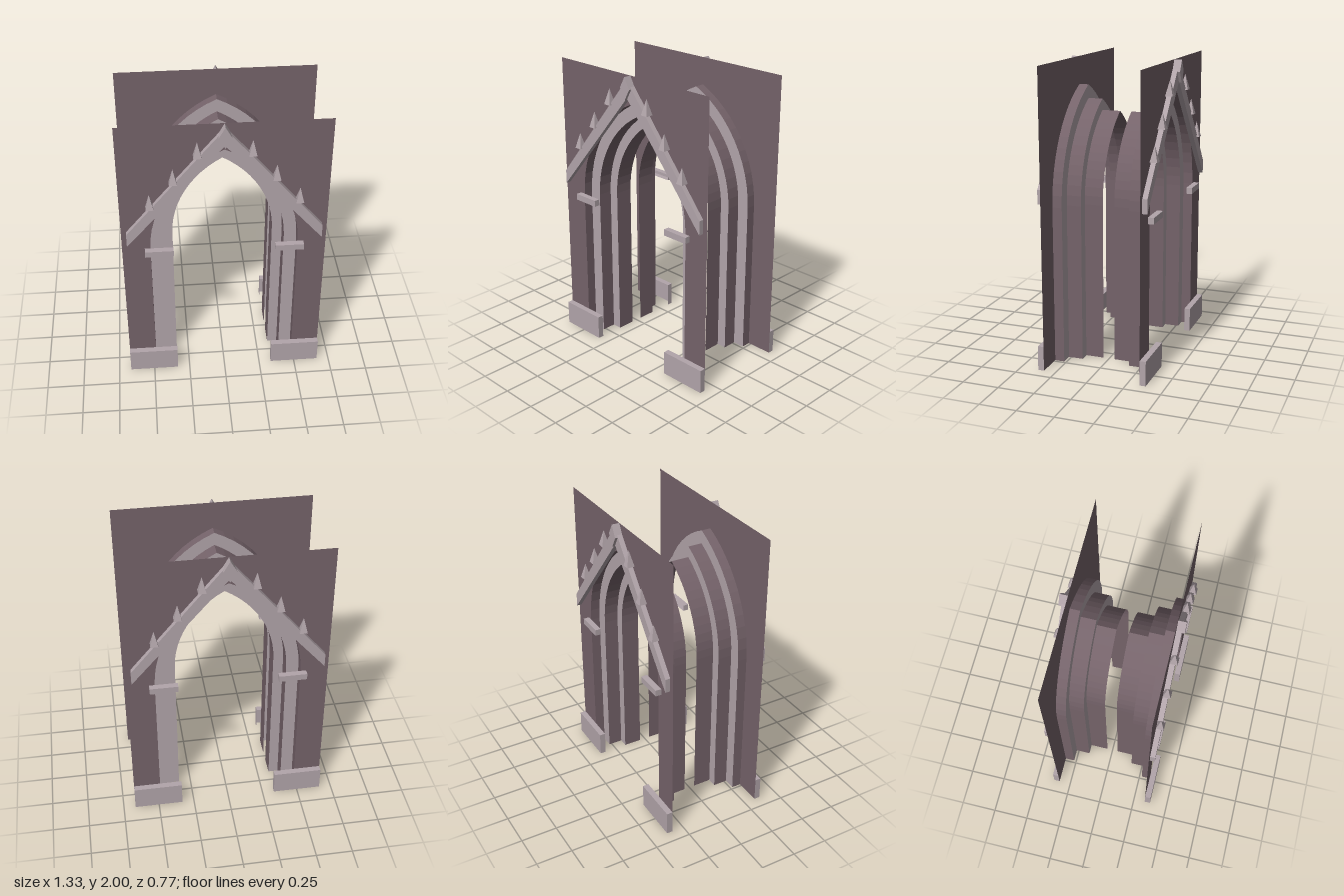
import * as THREE from 'three';

const SPRING = 1.067, OFFSET = 0.333, WALL_Z = 0.333;
const ORDERS = [ // half width, outer z, inner z
  { w: 0.483, z0: 0.333, z1: 0.267 },
  { w: 0.4, z0: 0.267, z1: 0.167 },
  { w: 0.333, z0: 0.167, z1: 0.04 },
];

const wallStone = new THREE.MeshStandardMaterial({ name: 'wallStone', color: 0x75636a, side: THREE.DoubleSide });
const trimStone = new THREE.MeshStandardMaterial({ name: 'trimStone', color: 0xb2a5aa, side: THREE.DoubleSide });

// Pointed arch outline, from the foot at +x over the apex to the foot at -x
function archPoints(w, n = 12) {
  const r = w + OFFSET, end = Math.acos(OFFSET / r);
  const half = [new THREE.Vector2(w, 0)];
  for (let i = 0; i <= n; i++) {
    const a = (end * i) / n;
    half.push(new THREE.Vector2(i === n ? 0 : r * Math.cos(a) - OFFSET, SPRING + r * Math.sin(a)));
  }
  const other = half.slice(0, -1).reverse().map((p) => new THREE.Vector2(-p.x, p.y));
  return [...half, ...other];
}

function mesh(name, geometry, material, x = 0, y = 0, z = 0) {
  const m = new THREE.Mesh(geometry, material);
  m.name = name;
  m.position.set(x, y, z);
  return m;
}

// Faceted strip running through the thickness of the arch, facing the opening
function revealGeometry({ w, z0, z1 }) {
  const pts = archPoints(w), pos = [];
  for (let i = 0; i < pts.length - 1; i++) {
    const a = pts[i], b = pts[i + 1];
    pos.push(a.x, a.y, z0, a.x, a.y, z1, b.x, b.y, z1);
    pos.push(a.x, a.y, z0, b.x, b.y, z1, b.x, b.y, z0);
  }
  const g = new THREE.BufferGeometry();
  g.setAttribute('position', new THREE.Float32BufferAttribute(pos, 3));
  g.computeVertexNormals();
  return g;
}

// Flat band between two arch outlines
function bandGeometry(outer, inner) {
  return new THREE.ShapeGeometry(new THREE.Shape([...archPoints(outer), ...archPoints(inner).reverse()]));
}

// Box without the listed sides (0 +x, 1 -x, 2 +y, 3 -y, 4 +z, 5 -z)
function openBox(w, h, d, open) {
  const g = new THREE.BoxGeometry(w, h, d);
  const index = Array.from(g.index.array).filter((_, i) => !open.includes(Math.floor(i / 6)));
  g.setIndex(index);
  g.clearGroups();
  return g;
}

function plate(points, depth) {
  const shape = new THREE.Shape(points.map(([x, y]) => new THREE.Vector2(x, y)));
  return new THREE.ExtrudeGeometry(shape, { depth, bevelEnabled: false });
}

function createFacade(name) {
  const g = new THREE.Group();
  g.name = name;

  // Thin wall with the arched opening cut from its lower edge
  const wallOutline = [[0.667, 0], [0.667, 2], [-0.667, 2], [-0.667, 0]].map(([x, y]) => new THREE.Vector2(x, y));
  const wall = new THREE.Shape([...wallOutline, ...archPoints(ORDERS[0].w).reverse()]);
  g.add(mesh('wall', new THREE.ShapeGeometry(wall), wallStone, 0, 0, WALL_Z));

  // Stepped arch orders: dark reveals and pale faces
  ORDERS.forEach((o, i) => {
    g.add(mesh('archReveal' + (i + 1), revealGeometry(o), wallStone));
    const next = ORDERS[i + 1];
    if (next) g.add(mesh('archFace' + (i + 1), bandGeometry(o.w, next.w), trimStone, 0, 0, o.z1));
  });

  for (const s of [1, -1]) {
    const side = s > 0 ? 'left' : 'right';
    // Plinth and capital on each jamb
    g.add(mesh(side + 'Plinth', openBox(0.334, 0.167, 0.041, [3, 5]), trimStone, s * 0.5, 0.0835, WALL_Z + 0.0205));
    g.add(mesh(side + 'Capital', openBox(0.187, 0.043, 0.04, [5]), trimStone, s * 0.4265, 1.0485, WALL_Z + 0.02));

    // Sloping gable moulding
    const bar = [[0, 1.86], [s * 0.633, 1.12], [s * 0.633, 1.215], [0, 1.98]];
    g.add(mesh(side + 'GableMoulding', plate(bar, 0.034), trimStone, 0, 0, WALL_Z + 0.001));

    // Leaf spikes along the gable
    [[0.17, 1.785], [0.323, 1.597], [0.475, 1.415]].forEach(([x, y], i) => {
      const spike = new THREE.ConeGeometry(0.036, 0.105, 4).toNonIndexed();
      spike.rotateY(Math.PI / 4);
      spike.computeVertexNormals();
      g.add(mesh(side + 'Crocket' + (i + 1), spike, trimStone, s * x, y + 0.0525, WALL_Z + 0.027));
    });
  }

  // Diamond finial at the peak
  const diamond = [[0, 1.85], [0.042, 1.925], [0, 2], [-0.042, 1.925]];
  g.add(mesh('finial', plate(diamond, 0.052), trimStone, 0, 0, WALL_Z + 0.001));
  return g;
}

export function createModel() {
  const model = new THREE.Group();
  model.name = 'gothicPortal';
  const front = createFacade('frontFacade');
  const back = createFacade('backFacade');
  back.rotation.y = Math.PI;
  model.add(front, back);
  return model;
}
